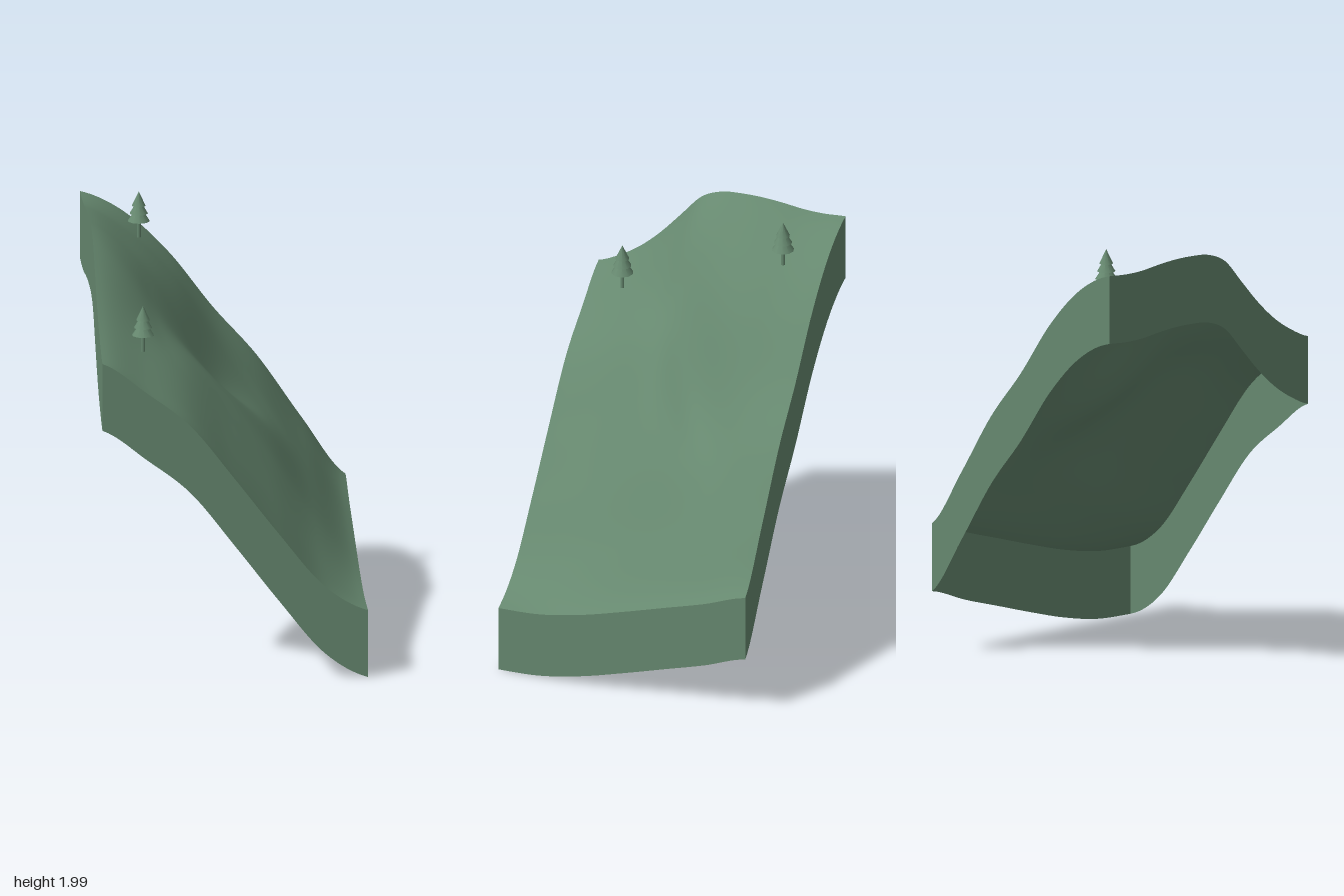
import * as THREE from 'three';

const MIN = -0.596, SIZE = 1.187, SKIRT = 0.31, SEGMENTS = 48;

// Evenly spaced height samples joined by a smooth curve, t from 0 to 1
function profile(heights) {
  const curve = new THREE.SplineCurve(heights.map((h, i) => new THREE.Vector2(i, h)));
  return t => curve.getPoint(t).y;
}
// Edge profiles: front and back run along +x, left and right edges run along +z
const front = profile([1.49, 1.35, 1.19, 0.94, 0.68, 0.44, 0.32]);
const back = profile([1.95, 1.85, 1.66, 1.4, 1.17, 0.88, 0.61]);
const highSide = profile([1.95, 1.943, 1.945, 1.957, 1.965, 1.965, 1.955, 1.91, 1.8, 1.69, 1.6, 1.535, 1.49]);
const lowSide = profile([0.61, 0.54, 0.48, 0.42, 0.365, 0.328, 0.32]);

// Hillside height: a blend of the four edges with a shallow diagonal gully
function height(u, v) {
  const mix = THREE.MathUtils.lerp;
  const across = mix(highSide(v), lowSide(v), u);
  const along = mix(back(u), front(u), v);
  const corners = mix(mix(1.95, 0.61, u), mix(1.49, 0.32, u), v);
  const x = MIN + SIZE * u, z = MIN + SIZE * v;
  const centre = 0.02 - 0.7 * (x + 0.2);
  const fade = 16 * u * (1 - u) * v * (1 - v);
  const gully = 0.125 * Math.exp(-(((z - centre) / 0.17) ** 2) - ((x + 0.1) / 0.3) ** 2);
  return across + along - corners - gully * Math.min(1, fade * 1.5);
}

// Bend a unit plane by a rule that maps its (u, v) to a point
function bentPlane(nu, nv, rule) {
  const geometry = new THREE.PlaneGeometry(1, 1, nu, nv);
  const p = geometry.attributes.position;
  for (let i = 0; i < p.count; i++) {
    p.setXYZ(i, ...rule(p.getX(i) + 0.5, 0.5 - p.getY(i)));
  }
  geometry.computeVertexNormals();
  return geometry;
}

function createTree(material) {
  const tree = new THREE.Group();
  tree.name = 'pineTree';
  const trunk = new THREE.Mesh(new THREE.CylinderGeometry(0.009, 0.009, 0.09, 8), material);
  trunk.name = 'trunk';
  trunk.position.y = 0.045;
  tree.add(trunk);
  // Three overlapping tiers: radius, bottom, top
  for (const [radius, bottom, top] of [[0.05, 0.076, 0.15], [0.041, 0.111, 0.18], [0.031, 0.146, 0.212]]) {
    const tier = new THREE.Mesh(new THREE.ConeGeometry(radius, top - bottom, 10), material);
    tier.name = 'foliageTier';
    tier.position.y = (bottom + top) / 2;
    tree.add(tier);
  }
  return tree;
}

export function createModel() {
  const model = new THREE.Group();
  model.name = 'hillside';
  const green = new THREE.MeshStandardMaterial({ color: 0x66886f, side: THREE.DoubleSide });
  green.name = 'mossGreen';

  // Sloping ground, open underneath
  const ground = new THREE.Mesh(bentPlane(SEGMENTS, SEGMENTS,
    (u, v) => [MIN + SIZE * u, height(u, v), MIN + SIZE * v]), green);
  ground.name = 'ground';
  model.add(ground);

  // Skirt walls hanging from each edge, traced anticlockwise from above
  const edges = {
    frontWall: t => [t, 1],
    lowWall: t => [1, 1 - t],
    backWall: t => [1 - t, 0],
    highWall: t => [0, t],
  };
  for (const [name, edge] of Object.entries(edges)) {
    const wall = new THREE.Mesh(bentPlane(SEGMENTS, 1, (t, down) => {
      const [u, v] = edge(t);
      return [MIN + SIZE * u, height(u, v) - SKIRT * down, MIN + SIZE * v];
    }), green);
    wall.name = name;
    model.add(wall);
  }

  // Pine trees on the upper slope
  for (const [x, y, z] of [[-0.35, 1.788, -0.395], [-0.398, 1.488, 0.397]]) {
    const tree = createTree(green);
    tree.position.set(x, y, z);
    model.add(tree);
  }
  return model;
}
